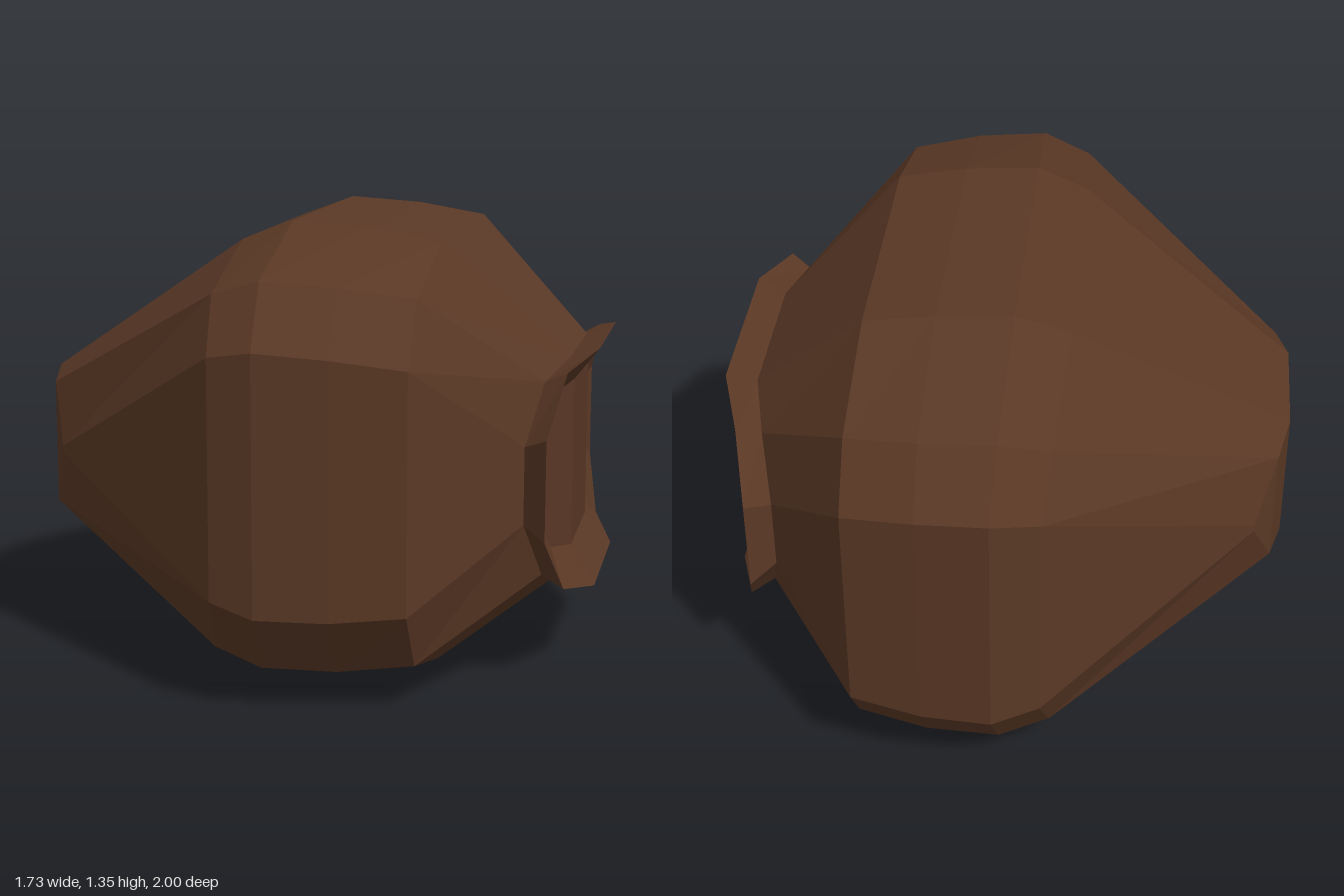
import * as THREE from 'three';

const leather = new THREE.MeshStandardMaterial({ color: 0x5a3825, flatShading: true });
leather.name = 'brown leather';

// Twelve-sided ring from three corners [x, z, top y, bottom y], mirrored front to back.
function ring(corners) {
  const top = corners.map(([x, z, t]) => [x, t, z]);
  const bottom = corners.map(([x, z, , b]) => [x, b, z]).reverse();
  const front = [...top, ...bottom];
  const back = front.map(([x, y, z]) => [x, y, -z]).reverse();
  return [...front, ...back];
}

// Faces joining consecutive rings.
function loft(rings) {
  const out = [];
  for (let i = 0; i < rings.length - 1; i++) {
    for (let j = 0; j < 12; j++) {
      const k = (j + 1) % 12;
      const p = rings[i][j], q = rings[i][k], r = rings[i + 1][j], s = rings[i + 1][k];
      out.push(p, q, r, q, s, r);
    }
  }
  return out;
}

// Bowed cap made of upright strips between top and bottom of a ring.
function cap(r, flip) {
  const out = [];
  for (const [a, b, c, d] of [[0, 1, 4, 5], [1, 2, 3, 4], [11, 0, 5, 6], [10, 11, 6, 7], [9, 10, 7, 8]]) {
    if (flip) out.push(r[a], r[c], r[b], r[a], r[d], r[c]);
    else out.push(r[a], r[b], r[c], r[a], r[c], r[d]);
  }
  return out;
}

function part(name, points) {
  const geometry = new THREE.BufferGeometry();
  geometry.setAttribute('position', new THREE.Float32BufferAttribute(points.flat(), 3));
  geometry.computeVertexNormals();
  const mesh = new THREE.Mesh(geometry, leather);
  mesh.name = name;
  return mesh;
}

export function createModel() {
  const group = new THREE.Group();
  group.name = 'pouch';

  // Rings from the closed base to the neck
  const body = [
    [[-0.865, 0.18, 0.85, 0.42], [-0.83, 0.33, 0.82, 0.44], [-0.77, 0.44, 0.64, 0.62]],
    [[-0.2, 0.40, 1.29, 0.045], [-0.18, 0.82, 1.18, 0.15], [-0.16, 0.95, 1.02, 0.32]],
    [[-0.04, 0.42, 1.35, 0.003], [-0.03, 0.865, 1.225, 0.11], [-0.02, 1.0, 1.045, 0.29]],
    [[0.19, 0.42, 1.335, 0], [0.19, 0.855, 1.21, 0.11], [0.19, 0.985, 1.03, 0.29]],
    [[0.405, 0.41, 1.30, 0.027], [0.405, 0.81, 1.18, 0.128], [0.405, 0.94, 1.0, 0.306]],
    [[0.77, 0.24, 0.94, 0.285], [0.72, 0.45, 0.90, 0.32], [0.68, 0.58, 0.73, 0.5]],
  ].map(ring);

  // Flared lip and the gathered mouth inside it
  const rim = ring([[0.86, 0.27, 0.975, 0.245], [0.79, 0.49, 0.935, 0.29], [0.75, 0.645, 0.765, 0.465]]);
  const mouth = ring([[0.78, 0.21, 0.87, 0.355], [0.735, 0.355, 0.845, 0.38], [0.69, 0.505, 0.68, 0.55]]);

  group.add(
    part('body', loft(body)),
    part('base', cap(body[0], true)),
    part('lip', loft([body[body.length - 1], rim, mouth])),
    part('mouth', cap(mouth, false)),
  );
  return group;
}
